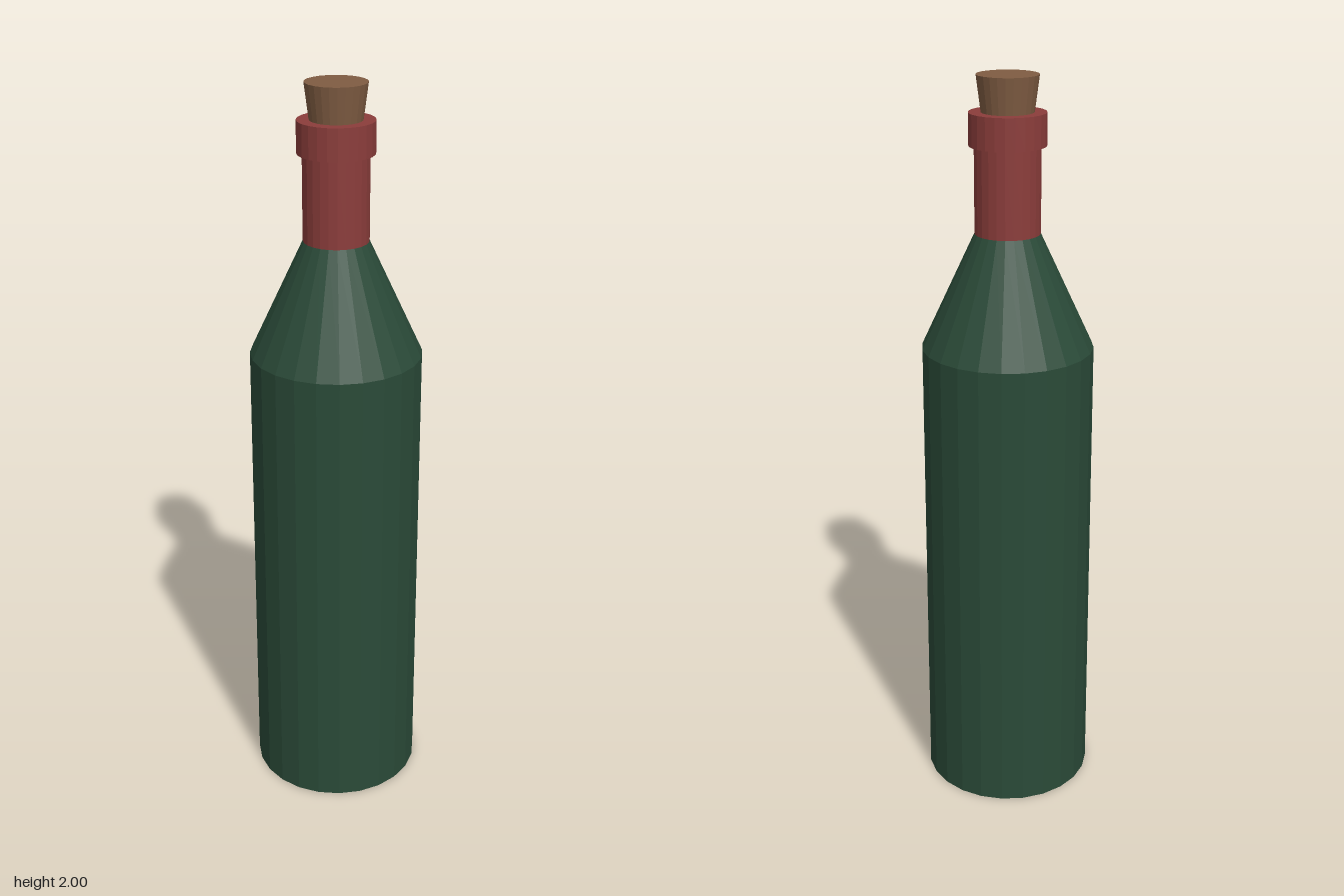
import * as THREE from 'three';

const SIDES = 24;

export function createModel() {
  const model = new THREE.Group();
  model.name = 'corkedBottle';

  const paint = (color) => new THREE.MeshStandardMaterial({ color, flatShading: true });
  const glass = paint(0x2a4a38);
  const wax = paint(0x8b3d3b);
  const cork = paint(0x7f5c42);

  // Lathed part from [radius, height] pairs, listed bottom to top
  const turn = (name, material, profile) => {
    const points = profile.map(([r, y]) => new THREE.Vector2(r, y));
    const mesh = new THREE.Mesh(new THREE.LatheGeometry(points, SIDES), material);
    mesh.name = name;
    model.add(mesh);
  };

  // Slightly tapered body, closed underneath, and sloping shoulder
  turn('body', glass, [[0, 0], [0.234, 0], [0.229, 1.295]]);
  turn('shoulder', glass, [[0.229, 1.295], [0.086, 1.6]]);

  // Sealed neck and the wider lip around its mouth
  turn('neck', wax, [[0.086, 1.6], [0.086, 1.825]]);
  turn('lip', wax, [[0.086, 1.825], [0.1, 1.825], [0.1, 1.908], [0, 1.908]]);

  // Cork flaring out above the lip
  turn('cork', cork, [[0.067, 1.9], [0.08, 2], [0, 2]]);

  return model;
}
